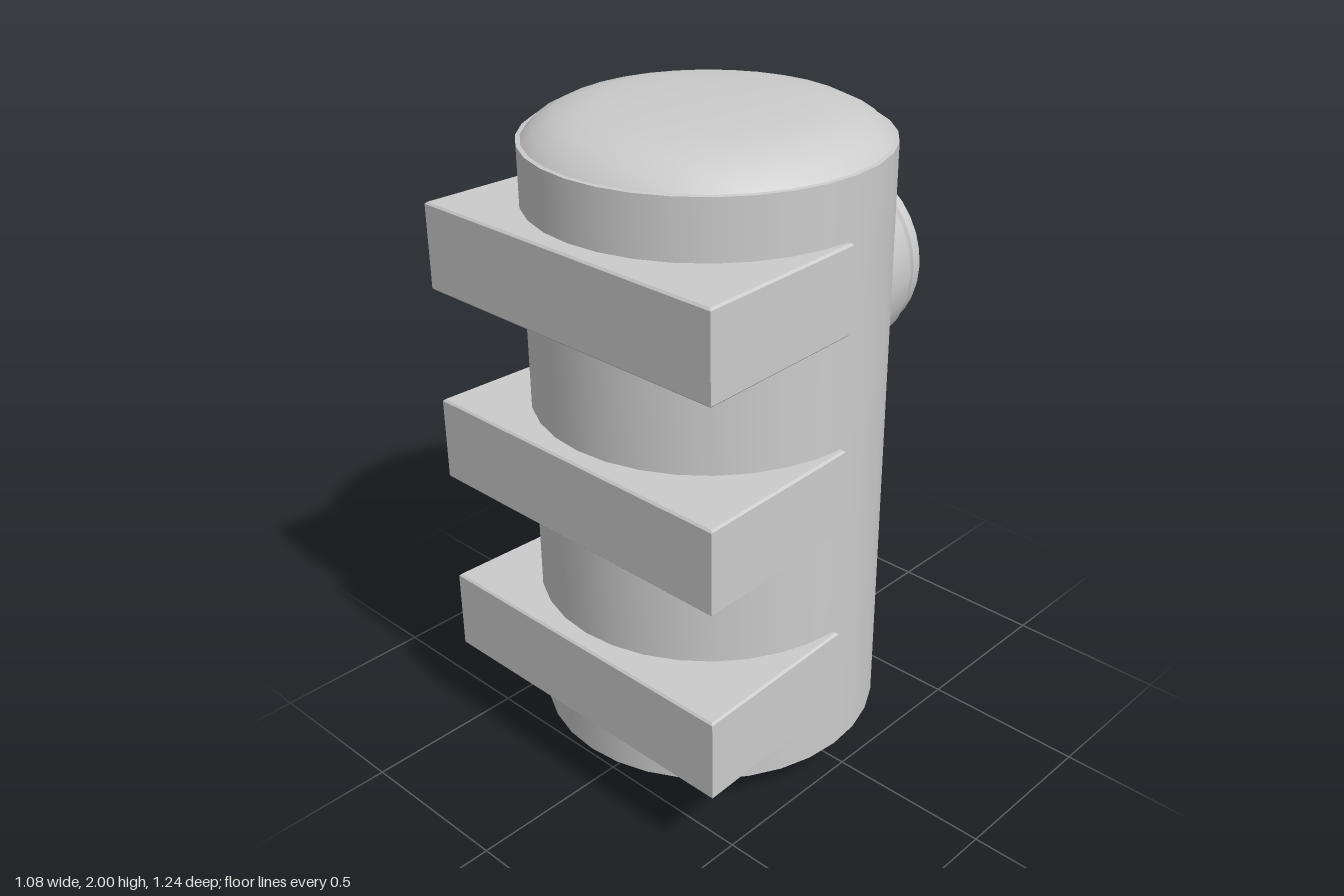
import * as THREE from 'three';
import { toCreasedNormals } from 'three/addons/utils/BufferGeometryUtils.js';

const material = new THREE.MeshStandardMaterial({ color: 0xcccccc });
const CX = -0.02, CZ = 0.045; // tank axis

function part(name, geometry, crease = 0.5) {
  const mesh = new THREE.Mesh(toCreasedNormals(geometry, crease), material);
  mesh.name = name;
  return mesh;
}

function lathe(points, sides) {
  return new THREE.LatheGeometry(points.map(([r, y]) => new THREE.Vector2(r, y)), sides);
}

// Saddle block: flat front and sides, curved hollow against the tank
function saddleGeometry(height) {
  const bevel = 0.006, r = 0.5;
  const shape = new THREE.Shape();
  shape.moveTo(r, 0.07);
  shape.lineTo(0.509, 0.07);
  shape.lineTo(0.531, 0.615);
  shape.lineTo(-0.531, 0.615);
  shape.lineTo(-0.509, 0.07);
  shape.lineTo(-r, 0.07);
  for (let i = 1; i < 24; i++) {
    const a = Math.PI * (1 - i / 24);
    shape.lineTo(r * Math.cos(a), CZ + Math.max(0.025, r * Math.sin(a)));
  }
  const geometry = new THREE.ExtrudeGeometry(shape, {
    depth: height - 2 * bevel, bevelEnabled: true, bevelSize: bevel,
    bevelThickness: bevel, bevelSegments: 1,
  });
  geometry.translate(0, 0, -height / 2 + bevel);
  return geometry.rotateX(Math.PI / 2);
}

export function createModel() {
  const model = new THREE.Group();

  // Tank wall with domed ends
  const dome = [[0, 0], [0.2, 0.003], [0.3, 0.009], [0.36, 0.017], [0.42, 0.034], [0.475, 0.064], [0.507, 0.1], [0.52, 0.101]];
  const profile = [
    ...dome.map(([r, y]) => [r, y + 0.004]),
    ...dome.map(([r, y]) => [r, 2 - y * 0.92]).reverse(),
  ];
  const tank = part('tank', lathe(profile, 32), 0.6);
  tank.position.set(CX, 0, CZ);
  model.add(tank);

  // Three mounting saddles on the front
  for (const y of [0.4, 1.003, 1.605]) {
    const saddle = part('mountingSaddle', saddleGeometry(0.26));
    saddle.position.y = y;
    model.add(saddle);
  }

  // Access hatch on the back: neck, lid and two grips
  const hatch = new THREE.Group();
  hatch.name = 'hatch';
  const neck = lathe([[0.34, 0.28], [0.318, 0.4], [0.297, 0.5], [0.293, 0.512], [0.275, 0.53], [0.25, 0.535], [0.25, 0.552]], 24);
  hatch.add(part('hatchNeck', neck.rotateX(-Math.PI / 2)));
  const lid = lathe([[0, 0.545], [0.262, 0.545], [0.271, 0.553], [0.271, 0.578], [0.264, 0.592], [0, 0.592]], 32);
  hatch.add(part('hatchLid', lid.rotateX(-Math.PI / 2)));
  for (const side of [-1, 1]) {
    const grip = new THREE.Shape();
    grip.moveTo(0.585, 0.04);
    grip.lineTo(0.622, 0.04);
    grip.lineTo(0.622, 0.195);
    grip.lineTo(0.595, 0.222);
    grip.lineTo(0.585, 0.222);
    const geometry = new THREE.ExtrudeGeometry(grip, { depth: 0.042, bevelEnabled: false });
    geometry.translate(0, 0, -0.021).rotateY(Math.PI / 2);
    if (side < 0) geometry.rotateZ(Math.PI);
    hatch.add(part('lidGrip', geometry));
  }
  hatch.position.set(-0.01, 1.408, 0);
  model.add(hatch);

  return model;
}
